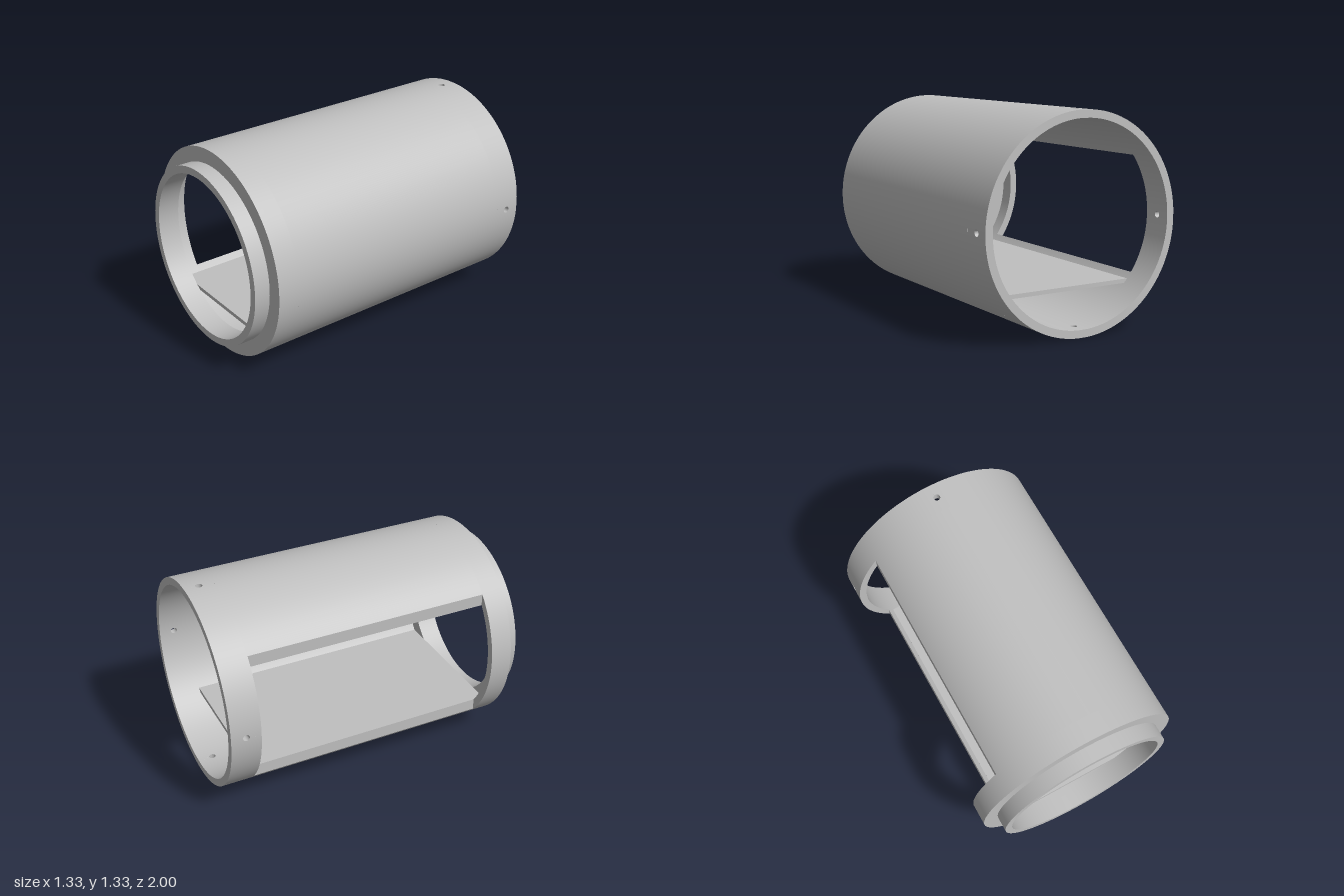
import * as THREE from 'three';

const R = 0.666;          // body outer radius
const BORE = 0.618;       // body inner radius
const NECK = 0.57;        // neck outer radius
const MOUTH = 0.523;      // neck inner radius
const BACK = -1, CUT_BACK = -0.81, CUT_FRONT = 0.76, SHOULDER = 0.86, FRONT = 0.9, TIP = 1;
const CUT_X = -0.5;       // flat plane of the side opening

// Round off the curved walls: faces that point in or out get exact radial normals
function smoothWalls(geo) {
  geo.computeVertexNormals();
  const p = geo.attributes.position, n = geo.attributes.normal;
  for (let i = 0; i < p.count; i++) {
    const len = Math.hypot(p.getX(i), p.getY(i));
    const rx = p.getX(i) / len, ry = p.getY(i) / len;
    const d = rx * n.getX(i) + ry * n.getY(i);
    if (Math.abs(d) > 0.95) n.setXYZ(i, Math.sign(d) * rx, Math.sign(d) * ry, 0);
  }
  return geo;
}

// Extrude a cross-section along the axis from z0 to z1
function along(shape, z0, z1, segments = 128) {
  const geo = new THREE.ExtrudeGeometry(shape, {
    depth: z1 - z0, bevelEnabled: false, curveSegments: segments,
  });
  geo.translate(0, 0, z0);
  return smoothWalls(geo);
}

function ring(outer, inner, z0, z1) {
  const shape = new THREE.Shape().absarc(0, 0, outer, 0, Math.PI * 2, false);
  shape.holes.push(new THREE.Path().absarc(0, 0, inner, 0, Math.PI * 2, true));
  return along(shape, z0, z1);
}

// Open section; the ends of the outer and inner arcs are joined by straight lines
function arc(outer, inner, a0, a1, b0, b1, z0, z1, segments) {
  const shape = new THREE.Shape();
  shape.absarc(0, 0, outer, a0, a1, false);
  shape.absarc(0, 0, inner, b1, b0, true);
  shape.closePath();
  return along(shape, z0, z1, segments);
}

// Small piece of wall pierced by a pin hole, bent to the body radius
function pinTile(angle, half) {
  const w = half * R;
  const shape = new THREE.Shape();
  shape.moveTo(-w, BACK);
  shape.lineTo(w, BACK);
  shape.lineTo(w, CUT_BACK);
  shape.lineTo(-w, CUT_BACK);
  shape.closePath();
  shape.holes.push(new THREE.Path().absarc(0, -0.905, 0.021, 0, Math.PI * 2, true));
  const geo = new THREE.ExtrudeGeometry(shape, {
    depth: R - BORE, bevelEnabled: false, curveSegments: 24,
  });
  const p = geo.attributes.position;
  for (let i = 0; i < p.count; i++) {
    const a = angle + p.getX(i) / R, r = BORE + p.getZ(i), z = p.getY(i);
    p.setXYZ(i, r * Math.cos(a), r * Math.sin(a), z);
  }
  return smoothWalls(geo);
}

export function createModel() {
  const model = new THREE.Group();
  model.name = 'tubeHousing';
  const grey = new THREE.MeshStandardMaterial({ color: 0xc0c0c0 });
  grey.name = 'grey';

  const housing = new THREE.Group();
  housing.name = 'housing';
  housing.position.y = R;
  model.add(housing);
  const add = (name, geo) => {
    const mesh = new THREE.Mesh(geo, grey);
    mesh.name = name;
    housing.add(mesh);
    return mesh;
  };

  // Rear collar with four pin holes
  const half = 0.05;
  for (let i = 0; i < 4; i++) {
    const a = i * Math.PI / 2, a0 = a + half, a1 = a + Math.PI / 2 - half;
    add('pinHoleWall', pinTile(a, half));
    add('rearCollar', arc(R, BORE, a0, a1, a0, a1, BACK, CUT_BACK, 32));
  }

  // Main wall, sliced flat on one side to leave the long opening
  const outerEnd = Math.acos(CUT_X / R), innerEnd = Math.acos(CUT_X / BORE);
  add('mainWall', arc(R, BORE, -outerEnd, outerEnd, -innerEnd, innerEnd, CUT_BACK, CUT_FRONT, 128));

  // Front collar, inward shoulder and narrower neck
  add('frontCollar', ring(R, BORE, CUT_FRONT, SHOULDER));
  add('shoulder', ring(R, MOUTH, SHOULDER, FRONT));
  add('neck', ring(NECK, MOUTH, FRONT, TIP));

  // Flat shelf across the lower part of the bore
  const shelf = add('shelf', new THREE.BoxGeometry(0.94, 0.026, SHOULDER - CUT_BACK));
  shelf.position.set(0, 0.252 - R, (SHOULDER + CUT_BACK) / 2);

  return model;
}
